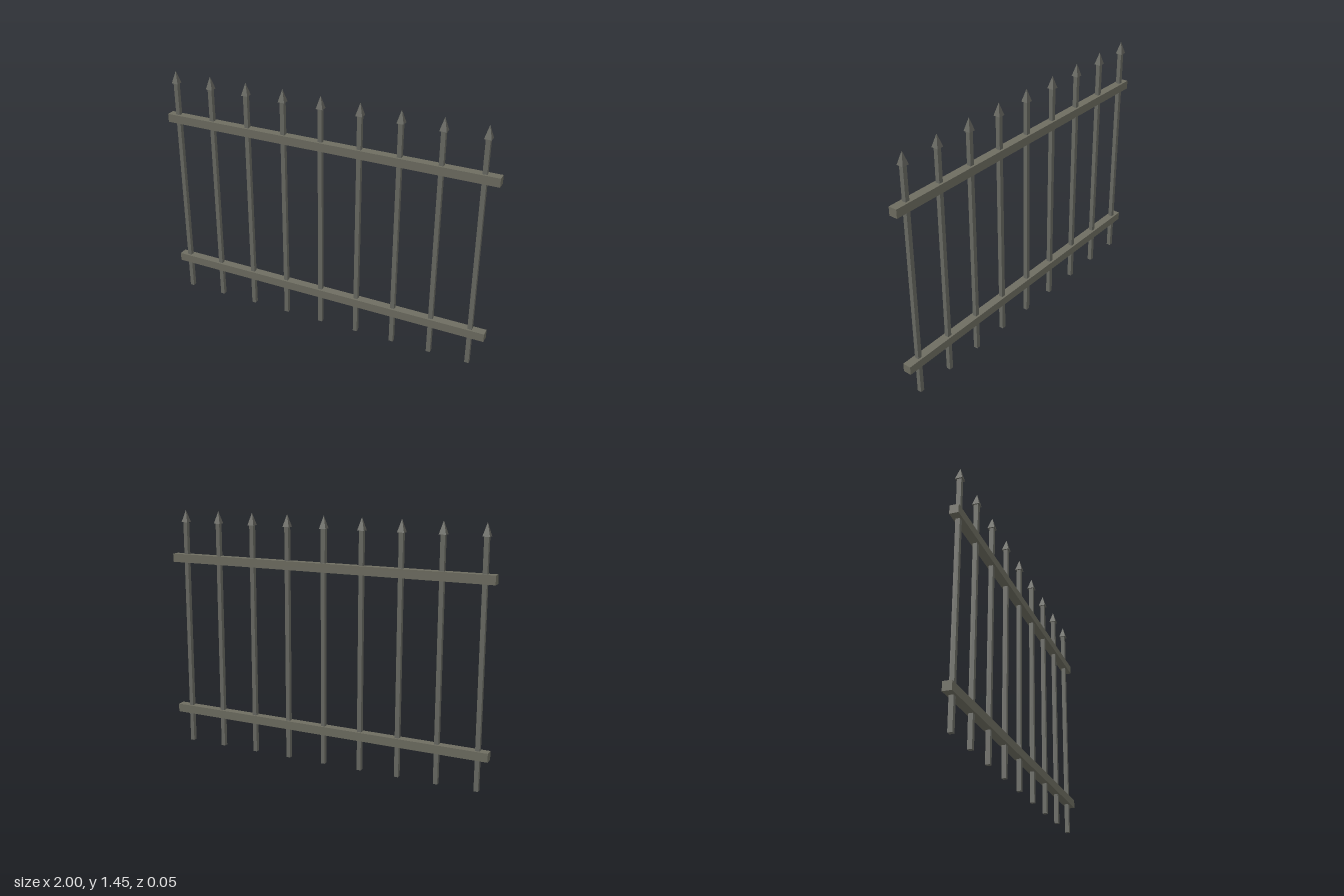
import * as THREE from 'three';

export function createModel() {
  const fence = new THREE.Group();
  fence.name = 'fence';

  const railMetal = new THREE.MeshStandardMaterial({ color: 0x6e6d61 });
  railMetal.name = 'rail metal';
  const barMetal = new THREE.MeshStandardMaterial({ color: 0x696a63 });
  barMetal.name = 'bar metal';

  const add = (parent, name, geometry, material, x, y) => {
    const mesh = new THREE.Mesh(geometry, material);
    mesh.name = name;
    mesh.position.set(x, y, 0);
    parent.add(mesh);
  };

  // Two horizontal rails
  const railGeometry = new THREE.BoxGeometry(2, 0.05, 0.05);
  add(fence, 'lowerRail', railGeometry, railMetal, 0, 0.205);
  add(fence, 'upperRail', railGeometry, railMetal, 0, 1.156);

  // Square bars, each topped by a four-sided spike
  const barHeight = 1.373, spikeHeight = 0.072, spikeWidth = 0.04;
  const barGeometry = new THREE.BoxGeometry(0.025, barHeight, 0.025);
  const spikeGeometry = new THREE.ConeGeometry(spikeWidth / Math.SQRT2, spikeHeight, 4)
    .rotateY(Math.PI / 4)
    .toNonIndexed();
  spikeGeometry.computeVertexNormals();

  for (let i = 0; i < 9; i++) {
    const picket = new THREE.Group();
    picket.name = `picket${i + 1}`;
    picket.position.x = -0.939 + i * 0.2315;
    add(picket, 'bar', barGeometry, barMetal, 0, barHeight / 2);
    add(picket, 'spike', spikeGeometry, barMetal, 0, barHeight + spikeHeight / 2);
    fence.add(picket);
  }
  return fence;
}
